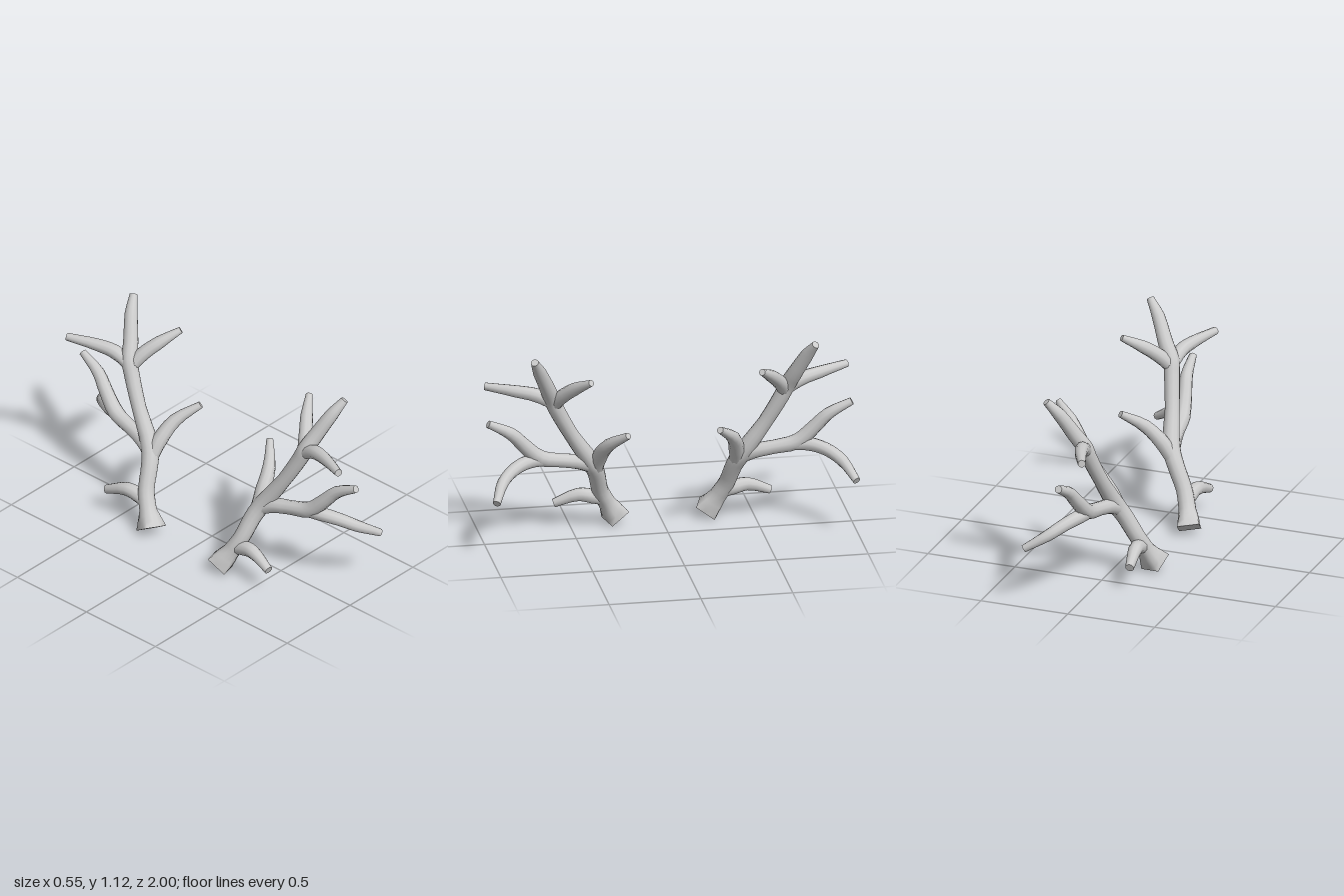
import * as THREE from 'three';

const SIDES = 10, STEPS = 3;

// Each branch: control points [x, y, z, radius] of the antler on the +z side
const BRANCHES = {
  mainBeam: [[-0.21, 0.048, 0.25, 0.085], [-0.18, 0.13, 0.3, 0.048], [-0.145, 0.22, 0.345, 0.045],
    [-0.085, 0.34, 0.375, 0.047], [-0.045, 0.42, 0.41, 0.05], [-0.005, 0.6, 0.525, 0.04],
    [0.03, 0.76, 0.61, 0.043], [0.045, 0.83, 0.64, 0.045], [0.09, 0.91, 0.672, 0.042],
    [0.155, 1.035, 0.728, 0.036], [0.215, 1.115, 0.765, 0.021]],
  topInnerTine: [[0.035, 0.79, 0.63, 0.035], [0.09, 0.86, 0.595, 0.039], [0.165, 0.93, 0.535, 0.035],
    [0.262, 0.995, 0.465, 0.018]],
  topOuterTine: [[0.04, 0.8, 0.62, 0.036], [0.025, 0.853, 0.72, 0.039], [-0.005, 0.87, 0.82, 0.034],
    [-0.075, 0.885, 0.985, 0.021]],
  middleBranch: [[-0.06, 0.385, 0.385, 0.04], [-0.035, 0.43, 0.47, 0.042], [-0.015, 0.455, 0.58, 0.039],
    [0.005, 0.485, 0.7, 0.044], [0.025, 0.57, 0.79, 0.039], [0.045, 0.65, 0.865, 0.034],
    [0.058, 0.718, 0.99, 0.021]],
  middleLowerTine: [[0, 0.47, 0.66, 0.034], [0.025, 0.475, 0.76, 0.038], [0.075, 0.455, 0.85, 0.035],
    [0.145, 0.41, 0.925, 0.032], [0.262, 0.337, 0.98, 0.021]],
  innerTine: [[-0.065, 0.37, 0.385, 0.04], [-0.005, 0.465, 0.373, 0.043], [0.08, 0.56, 0.34, 0.036],
    [0.185, 0.648, 0.25, 0.019]],
  browTine: [[-0.17, 0.155, 0.315, 0.035], [-0.165, 0.18, 0.385, 0.041], [-0.175, 0.19, 0.46, 0.037],
    [-0.195, 0.142, 0.588, 0.024]],
};

// Tapered tube with flat ends; squareStart shapes the first ring as a square
function taperedTube(points, ref, squareStart) {
  const curve = new THREE.CatmullRomCurve3(points.map((p) => new THREE.Vector3(p[0], p[1], p[2])));
  const sides = squareStart ? 12 : SIDES;
  const rings = (points.length - 1) * STEPS;
  const pos = [], index = [];
  for (let i = 0; i <= rings; i++) {
    const t = i / rings, f = t * (points.length - 1);
    const k = Math.min(Math.floor(f), points.length - 2);
    const radius = THREE.MathUtils.lerp(points[k][3], points[k + 1][3], f - k);
    const square = squareStart ? Math.max(0, 1 - f) : 0;
    const centre = curve.getPoint(t), dir = curve.getTangent(t);
    const u = ref.clone().addScaledVector(dir, -ref.dot(dir)).normalize();
    const v = new THREE.Vector3().crossVectors(dir, u);
    for (let j = 0; j < sides; j++) {
      const a = (j / sides) * Math.PI * 2;
      const diamond = 1 / (Math.abs(Math.cos(a)) + Math.abs(Math.sin(a)));
      const r = radius * THREE.MathUtils.lerp(1, diamond, square);
      const p = centre.clone().addScaledVector(u, r * Math.cos(a)).addScaledVector(v, r * Math.sin(a));
      pos.push(p.x, p.y, p.z);
      if (i < rings) {
        const b = i * sides + j, c = i * sides + (j + 1) % sides;
        index.push(b, c, c + sides, b, c + sides, b + sides);
      }
    }
  }
  // End caps on their own vertices so their rims stay sharp
  for (const ring of [0, rings]) {
    const start = pos.length / 3;
    pos.push(...pos.slice(ring * sides * 3, (ring + 1) * sides * 3));
    for (let j = 1; j < sides - 1; j++) {
      if (ring) index.push(start, start + j, start + j + 1);
      else index.push(start, start + j + 1, start + j);
    }
  }
  const geo = new THREE.BufferGeometry();
  geo.setAttribute('position', new THREE.Float32BufferAttribute(pos, 3));
  geo.setIndex(index);
  geo.computeVertexNormals();
  return geo;
}

export function createModel() {
  const model = new THREE.Group();
  model.name = 'antlers';
  const material = new THREE.MeshStandardMaterial({ color: 0xcccccc });
  // The second antler mirrors the first across z = 0
  for (const side of [1, -1]) {
    const antler = new THREE.Group();
    antler.name = side > 0 ? 'frontAntler' : 'backAntler';
    for (const [name, points] of Object.entries(BRANCHES)) {
      const isBeam = name === 'mainBeam';
      const ref = isBeam ? new THREE.Vector3(-0.07, 0.04, -0.03 * side) : new THREE.Vector3(0, 1, 0);
      const mirrored = points.map(([x, y, z, r]) => [x, y, z * side, r]);
      const mesh = new THREE.Mesh(taperedTube(mirrored, ref, isBeam), material);
      mesh.name = name;
      antler.add(mesh);
    }
    model.add(antler);
  }
  return model;
}
